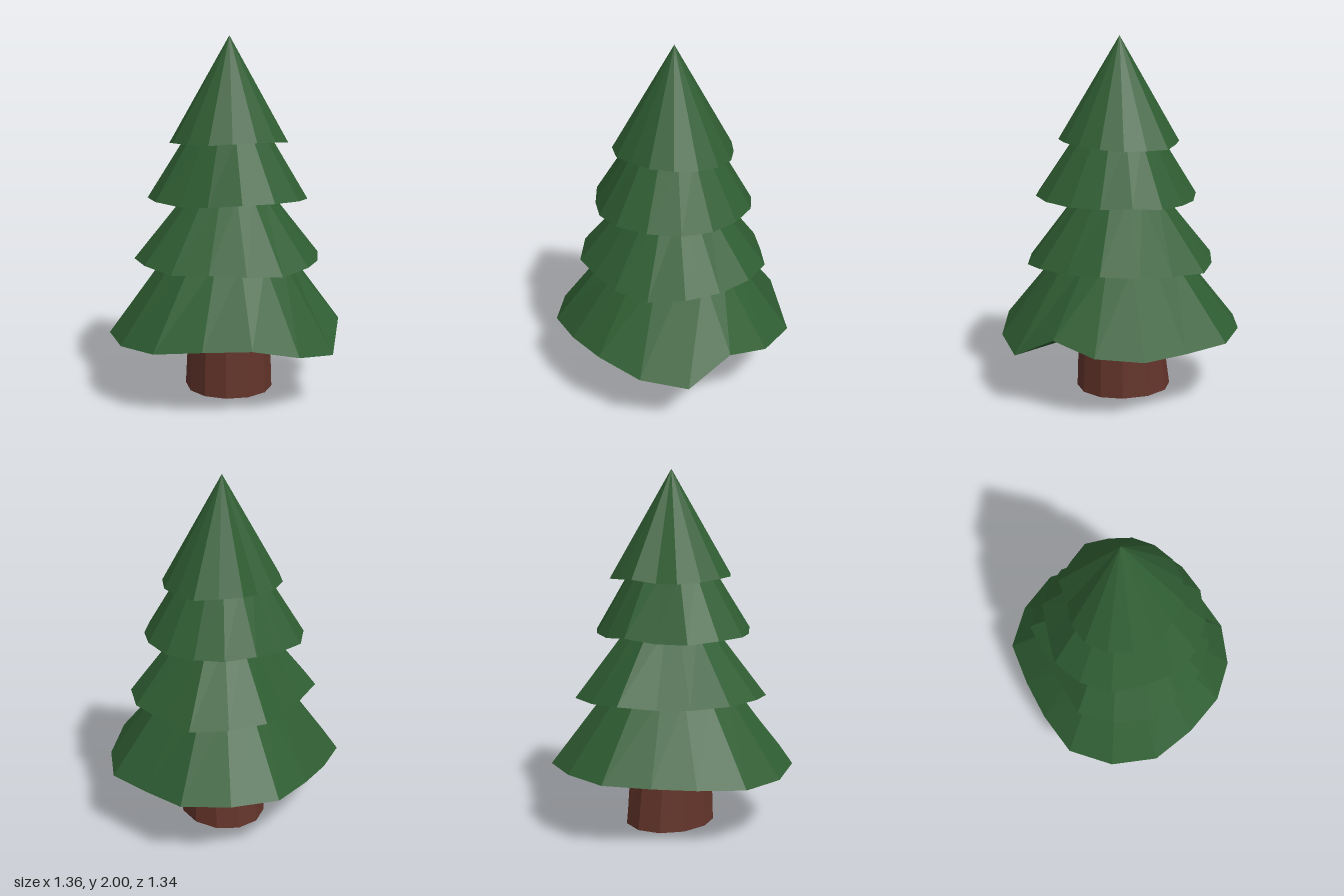
import * as THREE from 'three';

const SIDES = 16;

// One tier of boughs: uneven rim, sloping sides to a smaller upper ring (or a point), closed underside.
// Rim corners run from the back (-z) round through +x.
function boughTier({ turn, radii, heights, topScale, topY }) {
  const ring = (scale, y) => radii.map((r, i) => {
    const a = THREE.MathUtils.degToRad(turn + i * 360 / SIDES);
    return [Math.sin(a) * r * scale, y ?? heights[i], -Math.cos(a) * r * scale];
  });
  const rim = ring(1), top = ring(topScale, topY);
  const under = [0, heights.reduce((s, h) => s + h) / SIDES, 0];
  const pos = [];
  for (let i = 0; i < SIDES; i++) {
    const j = (i + 1) % SIDES;
    pos.push(...rim[j], ...rim[i], ...top[i]);
    if (topScale > 0) pos.push(...rim[j], ...top[i], ...top[j]);
    pos.push(...under, ...rim[i], ...rim[j]);
  }
  const geo = new THREE.BufferGeometry();
  geo.setAttribute('position', new THREE.Float32BufferAttribute(pos, 3));
  geo.computeVertexNormals();
  return geo;
}

const TIERS = [
  {
    name: 'lowestBoughs', turn: -7, topScale: 0.53, topY: 0.78,
    radii: [.68, .68, .69, .635, .68, .65, .625, .68, .675, .665, .655, .695, .695, .685, .615, .61],
    heights: [.38, .38, .37, .36, .36, .37, .43, .30, .34, .40, .39, .36, .345, .35, .36, .37],
  },
  {
    name: 'lowerBoughs', turn: -7, topScale: 0.45, topY: 1.13,
    radii: [.535, .525, .55, .505, .53, .52, .505, .52, .523, .52, .505, .54, .545, .54, .46, .455],
    heights: [.77, .75, .74, .75, .765, .77, .76, .76, .74, .755, .76, .75, .77, .77, .75, .75],
  },
  {
    name: 'upperBoughs', turn: -5, topScale: 0.53, topY: 1.45,
    radii: [.44, .42, .42, .435, .44, .435, .445, .465, .47, .475, .455, .44, .465, .46, .46, .42],
    heights: [1.12, 1.1, 1.1, 1.1, 1.115, 1.11, 1.11, 1.12, 1.125, 1.125, 1.11, 1.1, 1.11, 1.11, 1.1, 1.1],
  },
  {
    name: 'crownBoughs', turn: 0, topScale: 0, topY: 2,
    radii: [.335, .32, .345, .325, .33, .33, .335, .335, .34, .32, .335, .34, .34, .335, .31, .285],
    heights: [1.42, 1.41, 1.4, 1.4, 1.4, 1.41, 1.42, 1.43, 1.435, 1.43, 1.42, 1.42, 1.42, 1.41, 1.4, 1.4],
  },
];

export function createModel() {
  const model = new THREE.Group();
  model.name = 'pineTree';
  const green = new THREE.MeshStandardMaterial({ color: 0x2f5d32, flatShading: true });
  const brown = new THREE.MeshStandardMaterial({ color: 0x63342a, flatShading: true });

  // Trunk, with its foot spread towards the back
  const trunkGeo = new THREE.CylinderGeometry(0.23, 0.245, 0.45, 12);
  trunkGeo.translate(0, 0.225, 0);
  const p = trunkGeo.attributes.position;
  for (let i = 0; i < p.count; i++) {
    if (p.getY(i) < 0.1 && p.getZ(i) < 0) p.setZ(i, p.getZ(i) * 1.19);
  }
  trunkGeo.computeVertexNormals();
  const trunk = new THREE.Mesh(trunkGeo, brown);
  trunk.name = 'trunk';
  model.add(trunk);

  // Four stacked tiers of boughs
  for (const tier of TIERS) {
    const mesh = new THREE.Mesh(boughTier(tier), green);
    mesh.name = tier.name;
    model.add(mesh);
  }
  return model;
}
